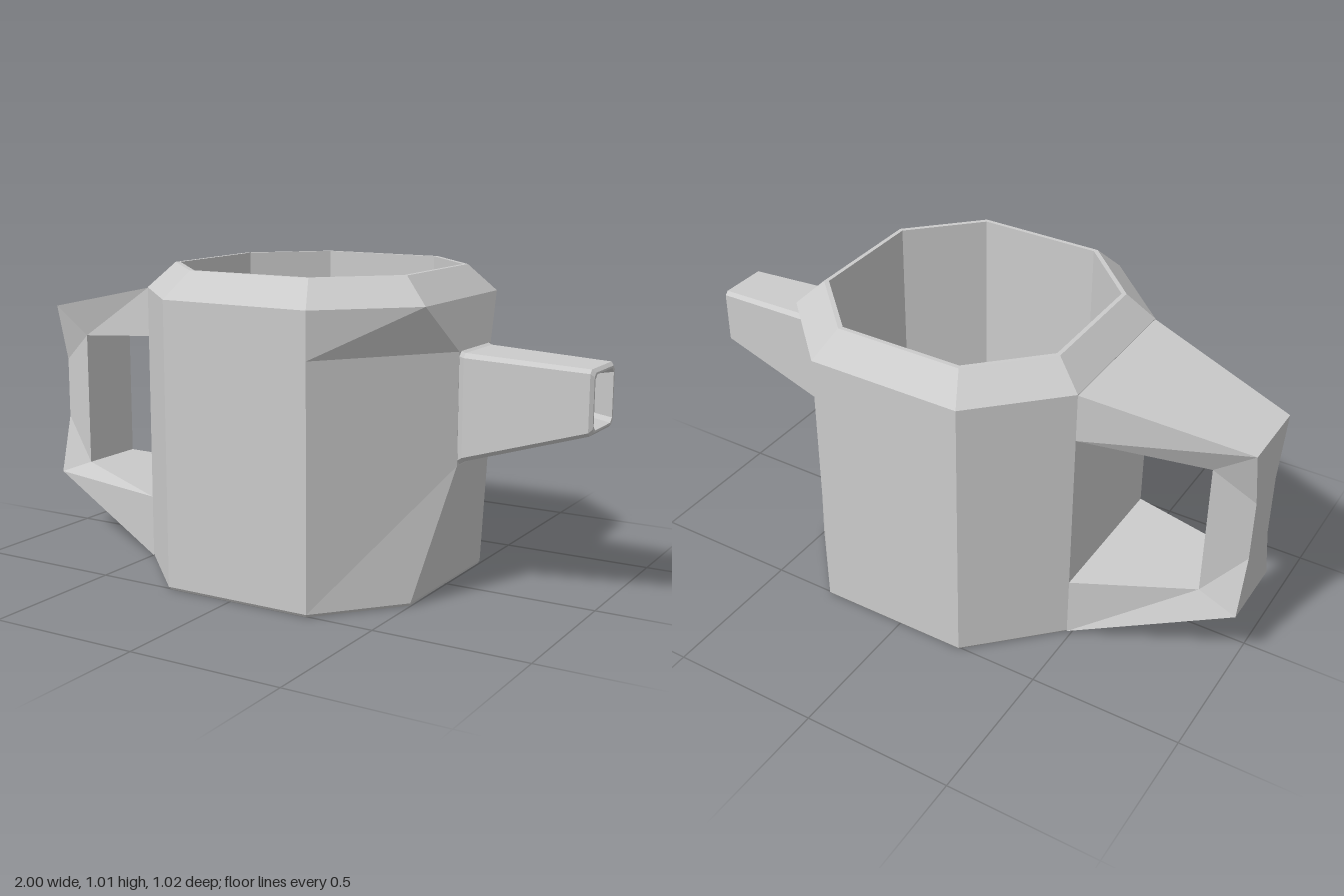
import * as THREE from 'three';

const material = new THREE.MeshStandardMaterial({ color: 0xcccccc, flatShading: true });

// Flat-sided mesh from polygons, each a counter-clockwise list of [x, y, z]
function polyMesh(name, faces) {
  const pos = [];
  for (const f of faces) {
    for (let i = 1; i < f.length - 1; i++) pos.push(...f[0], ...f[i], ...f[i + 1]);
  }
  const geo = new THREE.BufferGeometry();
  geo.setAttribute('position', new THREE.Float32BufferAttribute(pos, 3));
  geo.computeVertexNormals();
  const mesh = new THREE.Mesh(geo, material);
  mesh.name = name;
  return mesh;
}

// Quads joining successive rings
function loft(rings) {
  const faces = [];
  for (let k = 0; k < rings.length - 1; k++) {
    const a = rings[k], b = rings[k + 1], n = a.length;
    for (let i = 0; i < n; i++) {
      const j = (i + 1) % n;
      faces.push([a[i], a[j], b[j], b[i]]);
    }
  }
  return faces;
}

// Octagonal ring at height y; the +x side has its own position and half width
function octagon(y, half, x1, z1) {
  const cx = 0.025, h = half / 2;
  return [
    [x1, y, z1], [x1, y, -z1], [cx + h, y, -half], [cx - h, y, -half],
    [cx - half, y, -h], [cx - half, y, h], [cx - h, y, half], [cx + h, y, half],
  ];
}

// Rectangular ring with cut corners at position x
function spoutRing(x, y0, y1, w, c) {
  return [
    [y1, -w + c], [y1, w - c], [y1 - c, w], [y0 + c, w],
    [y0, w - c], [y0, -w + c], [y0 + c, -w], [y1 - c, -w],
  ].map(([y, z]) => [x, y, z]);
}

// Pot: the front of the octagon swells out to meet the spout, then the shoulder and thin rim
function makeBody() {
  const rings = [
    octagon(0, 0.505, 0.495, 0.25),
    octagon(0.01, 0.512, 0.5, 0.255),
    octagon(0.425, 0.512, 0.582, 0.115),
    octagon(0.78, 0.512, 0.582, 0.115),
    octagon(0.928, 0.512, 0.537, 0.256),
    octagon(1.012, 0.427, 0.452, 0.213),
    octagon(1.012, 0.413, 0.438, 0.206),
    octagon(0.05, 0.413, 0.438, 0.206),
  ];
  const base = [...rings[0]].reverse();
  return polyMesh('body', [...loft(rings), base, rings[rings.length - 1]]);
}

// Spout: tapering bevelled tube with a recessed mouth
function makeSpout() {
  const rings = [
    spoutRing(0.57, 0.42, 0.785, 0.116, 0.015),
    spoutRing(0.595, 0.437, 0.775, 0.112, 0.014),
    spoutRing(0.99, 0.558, 0.757, 0.096, 0.012),
    spoutRing(1.0, 0.568, 0.747, 0.086, 0.012),
    spoutRing(1.0, 0.574, 0.741, 0.079, 0.014),
    spoutRing(0.88, 0.6, 0.72, 0.058, 0.012),
  ];
  return polyMesh('spout', [...loft(rings), rings[rings.length - 1]]);
}

// Handle: outline points are [x, y, half width]
function makeHandle() {
  const outer = [
    [-0.487, 0.926, 0.256], [-1, 0.82, 0.125], [-1, 0.62, 0.075],
    [-1, 0.41, 0.075], [-1, 0.21, 0.125], [-0.487, 0.005, 0.256],
  ];
  const inner = [
    [-0.487, 0.765, 0.256], [-0.87, 0.722, 0.12],
    [-0.87, 0.26, 0.12], [-0.487, 0.213, 0.256],
  ];
  const [A, B, C, D, E, F] = outer;
  const [G, H, I, J] = inner;
  const mirror = ([x, y, z]) => [x, y, -z];
  const faces = [];
  // Both flanks
  for (const f of [[A, B, H, G], [B, C, H], [C, D, I, H], [D, E, I], [E, F, J, I]]) {
    faces.push(f, f.map(mirror).reverse());
  }
  // Surfaces around the outside and inside the opening
  for (const path of [outer, [...inner].reverse()]) {
    for (let i = 0; i < path.length - 1; i++) {
      const p = path[i], q = path[i + 1];
      faces.push([p, mirror(p), mirror(q), q]);
    }
  }
  return polyMesh('handle', faces);
}

export function createModel() {
  const group = new THREE.Group();
  group.name = 'teapot';
  group.add(makeBody(), makeSpout(), makeHandle());
  return group;
}
